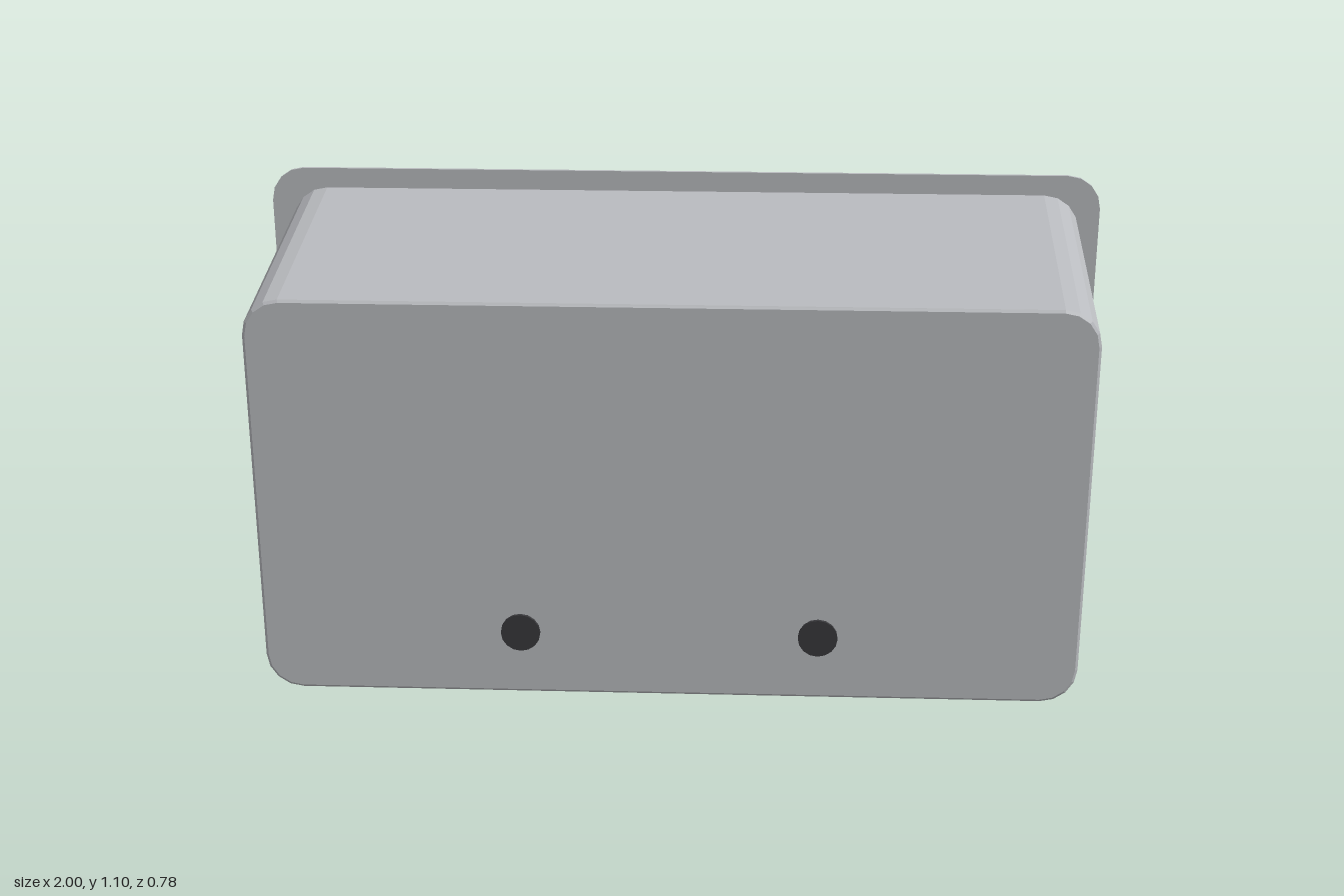
import * as THREE from 'three';

const mat = (name, color, side = THREE.FrontSide) => {
  const m = new THREE.MeshStandardMaterial({ color, side });
  m.name = name;
  return m;
};

// Faceted normals for low-poly parts
function flat(geo) {
  const g = geo.index ? geo.toNonIndexed() : geo;
  g.computeVertexNormals();
  return g;
}

// Skin a list of equal-length rings, with optional end caps
function loft(rings, capStart, capEnd) {
  const pos = [];
  const tri = (a, b, c) => pos.push(...a, ...b, ...c);
  const n = rings[0].length;
  for (let k = 0; k < rings.length - 1; k++) {
    const a = rings[k], b = rings[k + 1];
    for (let i = 0; i < n; i++) {
      const j = (i + 1) % n;
      tri(a[i], a[j], b[j]);
      tri(a[i], b[j], b[i]);
    }
  }
  const first = rings[0], last = rings[rings.length - 1];
  for (let i = 1; i < n - 1; i++) {
    if (capStart) tri(first[0], first[i + 1], first[i]);
    if (capEnd) tri(last[0], last[i], last[i + 1]);
  }
  const g = new THREE.BufferGeometry();
  g.setAttribute('position', new THREE.Float32BufferAttribute(pos, 3));
  g.computeVertexNormals();
  return g;
}

// Rounded rectangle ring at depth z, centred on y = 0.55
function roundedRing(w, h, r, z) {
  const ring = [], steps = 4;
  for (let c = 0; c < 4; c++) {
    const cx = (c === 0 || c === 3 ? 1 : -1) * (w - r);
    const cy = (c < 2 ? 1 : -1) * (h - r);
    for (let s = 0; s <= steps; s++) {
      const a = (c + s / steps) * Math.PI / 2;
      ring.push([cx + r * Math.cos(a), 0.55 + cy + r * Math.sin(a), z]);
    }
  }
  return ring;
}

export function createModel() {
  const model = new THREE.Group();
  model.name = 'toyCarInTray';

  const trayGrey = mat('tray grey', 0xb9bbbf, THREE.DoubleSide);
  const bodyGrey = mat('body light grey', 0xcdced1);
  const pink = mat('pink', 0xd9789c);
  const black = mat('rubber black', 0x38383b);
  const rimGrey = mat('rim grey', 0xa9abae);

  const add = (parent, name, geo, material, x = 0, y = 0, z = 0) => {
    const m = new THREE.Mesh(geo, material);
    m.name = name;
    m.position.set(x, y, z);
    parent.add(m);
    return m;
  };

  // Tray: flange, tapered walls, front panel; open at the back
  add(model, 'tray', loft([
    roundedRing(0.95, 0.5, 0.08, -0.385),
    roundedRing(1.0, 0.55, 0.08, -0.385),
    roundedRing(1.0, 0.55, 0.08, -0.376),
    roundedRing(0.95, 0.502, 0.085, -0.376),
    roundedRing(0.907, 0.458, 0.08, 0.38),
    roundedRing(0.901, 0.452, 0.075, 0.385),
  ], false, true), trayGrey);

  const car = new THREE.Group();
  car.name = 'car';
  model.add(car);

  // Body shell: cross-sections along x [x, roof height, half width]
  const bottom = 0.23;
  const stations = [
    [-0.51, 0.35, 0.2],
    [-0.25, 0.45, 0.24],
    [0.26, 0.46, 0.24],
    [0.51, 0.365, 0.2],
  ];
  add(car, 'body', loft(stations.map(([x, top, w]) => [
    [x, bottom, -w - 0.02], [x, top - 0.035, -w - 0.02], [x, top, -w],
    [x, top, w], [x, top - 0.035, w + 0.02], [x, bottom, w + 0.02],
  ]), true, true), bodyGrey);

  // Underside panel
  add(car, 'underside', loft(stations.map(([x, , w]) => [
    [x * 0.99, bottom - 0.008, -w - 0.015], [x * 0.99, bottom, -w - 0.015],
    [x * 0.99, bottom, w + 0.015], [x * 0.99, bottom - 0.008, w + 0.015],
  ]), true, true), pink);

  // Cabin: tapered block
  const cabinRing = (x0, x1, w, y) => [[x0, y, w], [x1, y, w], [x1, y, -w], [x0, y, -w]];
  add(car, 'cabin', loft([
    cabinRing(-0.13, 0.23, 0.25, 0.44),
    cabinRing(-0.07, 0.12, 0.14, 0.655),
  ], false, true), bodyGrey);

  // Ring on the roof
  const ring = new THREE.TorusGeometry(0.192, 0.075, 6, 14);
  ring.rotateX(Math.PI / 2);
  add(car, 'roofRing', flat(ring), pink, 0, 0.7, 0);

  // Wheels
  const tyreProfile = [[0.08, -0.055], [0.13, -0.055], [0.155, -0.04], [0.155, 0.04],
    [0.13, 0.055], [0.08, 0.055]].map(([r, y]) => new THREE.Vector2(r, y));
  const tyre = flat(new THREE.LatheGeometry(tyreProfile, 16)
    .rotateY(Math.PI / 16).rotateX(Math.PI / 2));
  const disc = (r, length, sides) =>
    new THREE.CylinderGeometry(r, r, length, sides).rotateX(Math.PI / 2);
  const rim = disc(0.096, 0.114, 16);
  const cap = disc(0.044, 0.134, 16);
  const axle = disc(0.025, 0.6, 10);
  const bumper = flat(disc(0.035, 0.5, 8));

  for (const sx of [-1, 1]) {
    for (const sz of [-1, 1]) {
      const wheel = new THREE.Group();
      wheel.name = (sx < 0 ? 'front' : 'rear') + 'Wheel';
      wheel.position.set(sx * 0.33, 0.242, sz * 0.325);
      add(wheel, 'tyre', tyre, black);
      add(wheel, 'rim', rim, rimGrey);
      add(wheel, 'hubCap', cap, black);
      car.add(wheel);
    }
    add(car, 'axle', axle, black, sx * 0.33, 0.242, 0);
    add(car, 'bumper', bumper, black, sx * 0.53, 0.245, 0);
  }
  return model;
}
